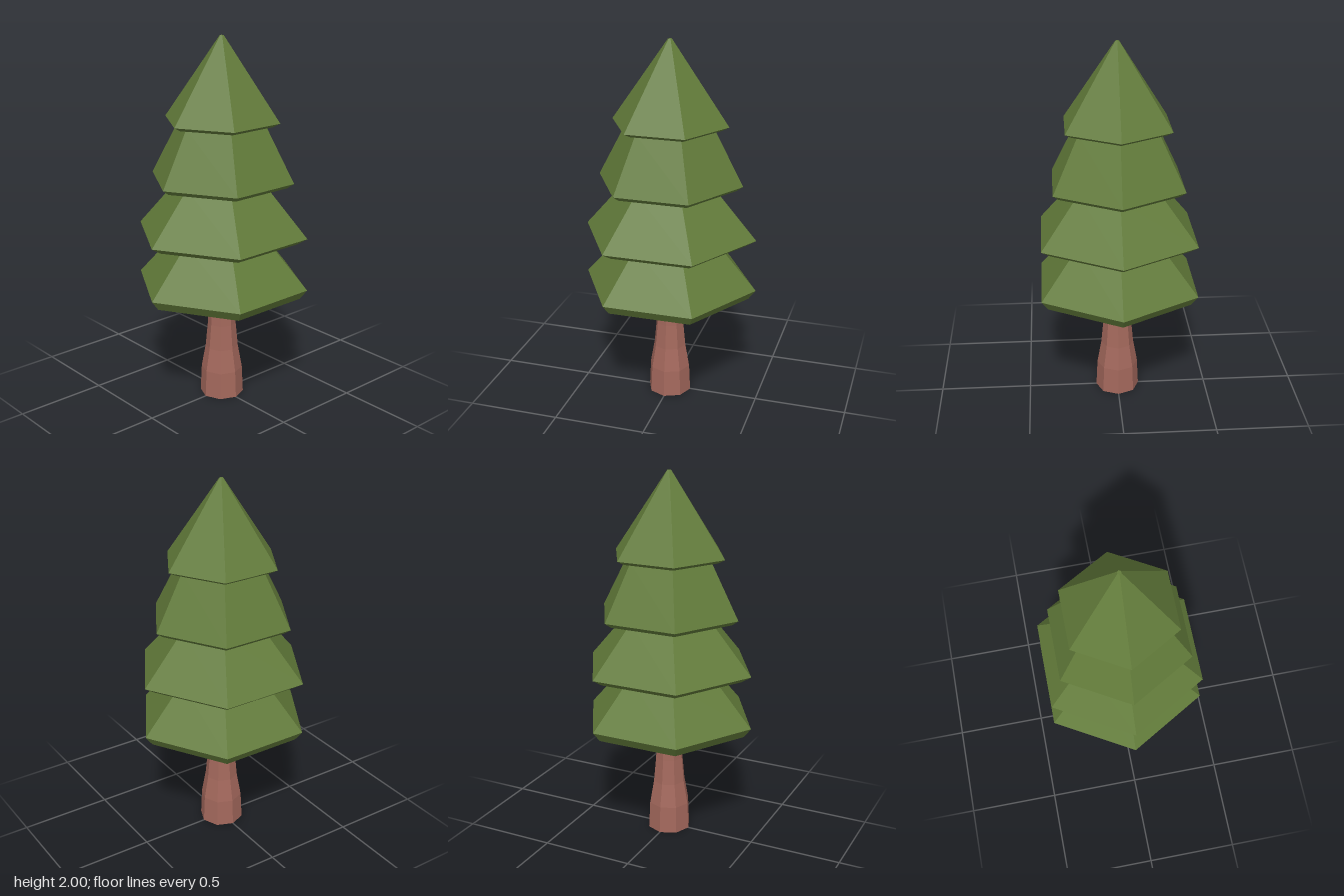
import * as THREE from 'three';

const needles = new THREE.MeshStandardMaterial({ color: 0x627b3a, flatShading: true });
needles.name = 'needle green';
const bark = new THREE.MeshStandardMaterial({ color: 0xa3685c, flatShading: true });
bark.name = 'bark brown';

// Faceted solid of revolution from [radius, y] pairs, bottom to top
function turned(name, profile, sides, material) {
  const points = profile.map(([r, y]) => new THREE.Vector2(r, y));
  const geometry = new THREE.LatheGeometry(points, sides).toNonIndexed();
  geometry.computeVertexNormals();
  const mesh = new THREE.Mesh(geometry, material);
  mesh.name = name;
  return mesh;
}

export function createModel() {
  const tree = new THREE.Group();
  tree.name = 'pineTree';

  // Eight-sided trunk, flared at the foot
  tree.add(turned('trunk', [
    [0, 0], [0.12, 0], [0.113, 0.15], [0.09, 0.28], [0.077, 0.42], [0.067, 0.62],
  ], 8, bark));

  // Six-sided foliage tiers: flat underside, bevelled rim, sloping skirt
  const tiers = [
    { base: [0.442, 0.615], rim: [0.481, 0.667], top: [0.25, 0.93] },
    { base: [0.42, 0.922], rim: [0.475, 0.957], top: [0.24, 1.23] },
    { base: [0.36, 1.225], rim: [0.396, 1.251], top: [0.238, 1.55] },
    { base: [0.277, 1.543], rim: [0.316, 1.564], top: [0.011, 2] },
  ];
  tiers.forEach(({ base, rim, top }, i) => {
    tree.add(turned(`foliageTier${i + 1}`,
      [[0, base[1]], base, rim, top, [0, top[1]]], 6, needles));
  });

  return tree;
}
